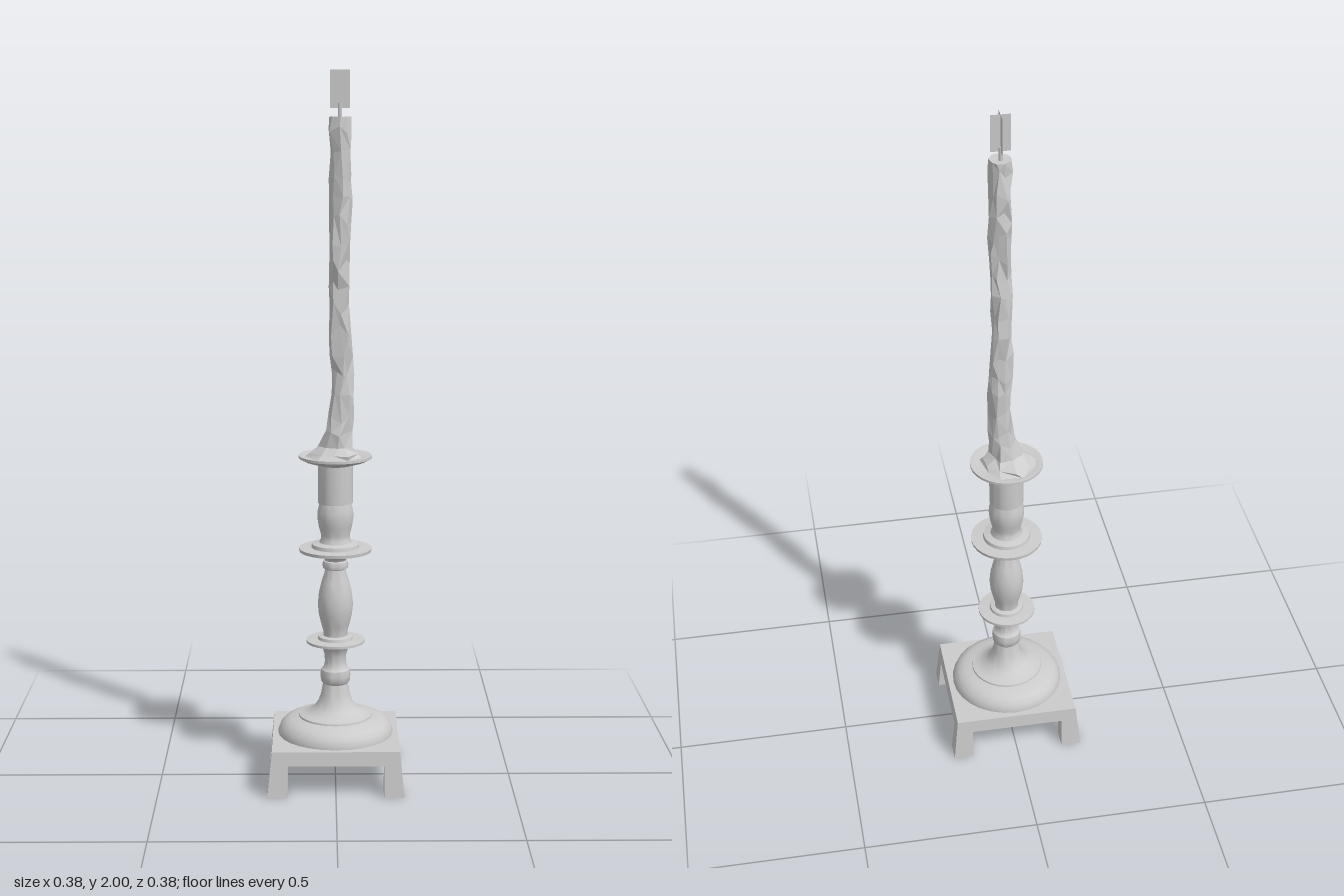
import * as THREE from 'three';
import { toCreasedNormals } from 'three/addons/utils/BufferGeometryUtils.js';

const grey = () => new THREE.MeshStandardMaterial({ color: 0xcccccc });

// Half-width of the tapered foot at height y
const footHalf = (y) => 0.192 - 0.1 * y;

function addMesh(group, name, geometry, material = grey()) {
  const mesh = new THREE.Mesh(geometry, material);
  mesh.name = name;
  group.add(mesh);
  return mesh;
}

// Box whose outer faces (those beyond 0.15 from the axis) follow the foot's taper
function taperedBox(x0, x1, y0, y1, z0, z1) {
  const g = new THREE.BoxGeometry(x1 - x0, y1 - y0, z1 - z0);
  g.translate((x0 + x1) / 2, (y0 + y1) / 2, (z0 + z1) / 2);
  const p = g.attributes.position;
  const lean = (v, y) => (Math.abs(v) > 0.15 ? Math.sign(v) * footHalf(y) : v);
  for (let i = 0; i < p.count; i++) {
    const y = p.getY(i);
    p.setX(i, lean(p.getX(i), y));
    p.setZ(i, lean(p.getZ(i), y));
  }
  g.computeVertexNormals();
  return g;
}

function lathe(points, segments = 28) {
  const g = new THREE.LatheGeometry(points.map(([r, y]) => new THREE.Vector2(r, y)), segments);
  return toCreasedNormals(g, 0.7);
}

// Repeatable noise in -1..1
function makeNoise(seed) {
  let s = seed;
  return () => {
    s = (s * 16807) % 2147483647;
    return (s / 2147483647) * 2 - 1;
  };
}

// Dripping wax: irregular rings lofted from the puddle to the candle tip
function waxGeometry() {
  const noise = makeNoise(77);
  const sides = 9;
  // y, radius, centre x, centre z, roughness
  const rings = [
    [0.934, 0.078, -0.005, 0.0, 0.1],
    [0.946, 0.066, -0.003, 0.002, 0.16],
    [0.965, 0.046, 0.002, 0.004, 0.2],
    [1.0, 0.036, 0.008, 0.008, 0.15],
  ];
  for (let i = 0; i < 14; i++) {
    const t = i / 13;
    rings.push([
      1.05 + 0.79 * t, 0.031,
      0.015 - 0.004 * t + 0.003 * Math.sin(t * 9),
      0.008 + 0.016 * t * t - 0.004 * Math.sin(t * 8), 0.22,
    ]);
  }
  rings.push([1.875, 0.031, 0.012, 0.022, 0.08]);
  const pos = [], idx = [];
  rings.forEach(([y, r, cx, cz, rough], j) => {
    const inner = j > 2 && j < rings.length - 1;
    for (let i = 0; i < sides; i++) {
      const a = ((i + 0.3 * noise()) / sides) * Math.PI * 2;
      const rr = r * (1 + rough * noise());
      pos.push(cx + rr * Math.sin(a), y + (inner ? 0.018 * noise() : 0), cz + rr * Math.cos(a));
      if (j === 0) continue;
      const n = (i + 1) % sides, b = (j - 1) * sides, t = j * sides;
      if ((i + j) % 2) idx.push(b + i, b + n, t + i, b + n, t + n, t + i);
      else idx.push(b + i, b + n, t + n, b + i, t + n, t + i);
    }
  });
  // Flat tip
  const last = (rings.length - 1) * sides;
  pos.push(0.012, 1.873, 0.02);
  for (let i = 0; i < sides; i++) idx.push(last + i, last + ((i + 1) % sides), last + sides);
  const g = new THREE.BufferGeometry();
  g.setAttribute('position', new THREE.Float32BufferAttribute(pos, 3));
  g.setIndex(idx);
  g.computeVertexNormals();
  return g;
}

export function createModel() {
  const model = new THREE.Group();
  model.name = 'candlestick';

  // Square foot with four corner legs
  const foot = new THREE.Group();
  foot.name = 'foot';
  model.add(foot);
  addMesh(foot, 'footPlate', taperedBox(-0.18, 0.18, 0.09, 0.13, -0.18, 0.18));
  for (const sx of [-1, 1]) for (const sz of [-1, 1]) {
    const range = (s) => (s > 0 ? [0.135, 0.19] : [-0.19, -0.135]);
    const [x0, x1] = range(sx), [z0, z1] = range(sz);
    addMesh(foot, 'leg', taperedBox(x0, x1, 0, 0.09, z0, z1));
  }

  // Domed base flaring up into the lower stem
  addMesh(model, 'domedBase', lathe([
    [0.164, 0.128], [0.164, 0.138], [0.158, 0.153], [0.146, 0.167], [0.128, 0.176],
    [0.105, 0.18], [0.104, 0.185], [0.085, 0.19], [0.064, 0.202], [0.05, 0.22],
    [0.041, 0.245], [0.035, 0.278],
  ]));
  addMesh(model, 'lowerStem', lathe([
    [0.035, 0.276], [0.041, 0.283], [0.043, 0.3], [0.041, 0.317], [0.034, 0.323],
    [0.03, 0.34], [0.031, 0.36], [0.036, 0.378], [0.047, 0.391], [0.055, 0.395],
  ]));
  addMesh(model, 'lowerDisc', lathe([
    [0, 0.394], [0.06, 0.394], [0.083, 0.398], [0.083, 0.405], [0.05, 0.407],
    [0.048, 0.415], [0.035, 0.418],
  ]));

  // Swelling middle of the stem
  addMesh(model, 'baluster', lathe([
    [0.034, 0.415], [0.034, 0.428], [0.04, 0.45], [0.047, 0.478], [0.05, 0.508],
    [0.047, 0.542], [0.039, 0.575], [0.031, 0.6], [0.029, 0.612], [0.035, 0.615],
    [0.037, 0.625], [0.034, 0.635], [0.03, 0.637], [0.034, 0.645], [0.05, 0.654],
    [0.075, 0.661],
  ]));
  addMesh(model, 'middleDisc', lathe([
    [0, 0.655], [0.06, 0.656], [0.102, 0.664], [0.103, 0.673], [0.068, 0.675],
    [0.066, 0.685], [0.045, 0.69],
  ]));

  // Candle socket and drip pan
  addMesh(model, 'cup', lathe([
    [0.048, 0.686], [0.041, 0.7], [0.041, 0.712], [0.047, 0.735], [0.051, 0.76],
    [0.05, 0.78], [0.045, 0.802],
  ]));
  addMesh(model, 'socket', lathe([
    [0.04, 0.803], [0.049, 0.803], [0.049, 0.912], [0.056, 0.918],
  ]));
  addMesh(model, 'dripPan', lathe([
    [0, 0.912], [0.055, 0.914], [0.085, 0.923], [0.103, 0.932], [0.103, 0.939],
    [0.094, 0.939], [0.08, 0.935], [0, 0.934],
  ]));

  // Candle, wick and crossed flame cards
  const candle = new THREE.Group();
  candle.name = 'candle';
  model.add(candle);
  const wax = grey();
  wax.flatShading = true;
  addMesh(candle, 'wax', waxGeometry(), wax);
  addMesh(candle, 'wick', new THREE.CylinderGeometry(0.006, 0.006, 0.042, 6)).position.set(0.012, 1.89, 0.018);
  for (const turn of [0, Math.PI / 2]) {
    const card = grey();
    card.side = THREE.DoubleSide;
    const flame = addMesh(candle, 'flameCard', new THREE.PlaneGeometry(0.054, 0.102), card);
    flame.position.set(0.012, 1.949, 0.018);
    flame.rotation.y = turn;
  }
  return model;
}
